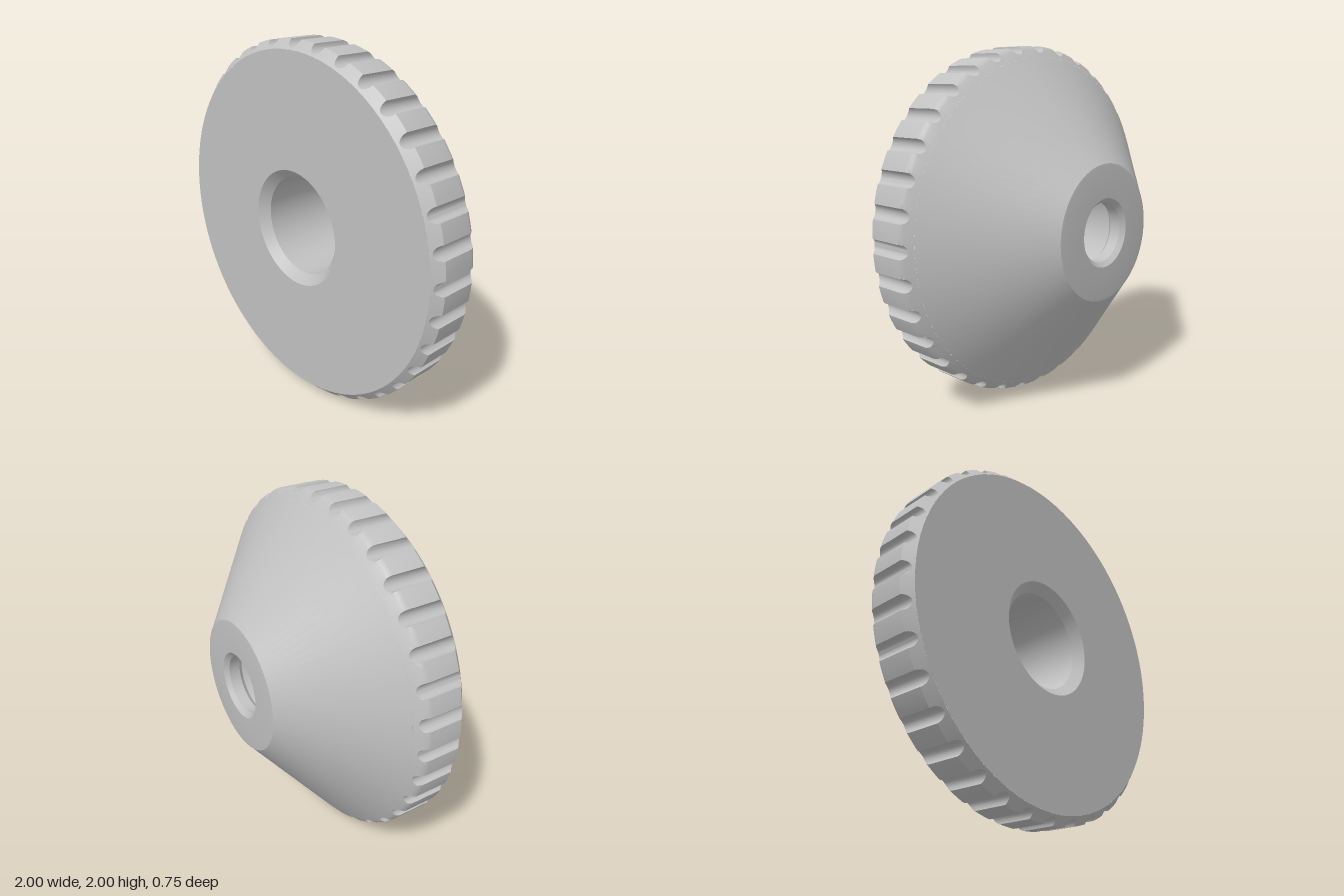
import * as THREE from 'three';
import { toCreasedNormals } from 'three/addons/utils/BufferGeometryUtils.js';

const NOTCHES = 36, NOTCH_R = 0.038;
const FRONT = 0.373, BACK = -0.373, FACE_R = 0.952, JOIN_R = 0.94;

// Height of the rear surface at a radius: straight cone, then a small rounding into the rim
function backZ(r) {
  const cone = -0.364 + (r - 0.385) / 1.27;
  if (r <= 0.98) return cone;
  const t = (r - 0.98) / 0.02;
  return cone + 0.02 * t * t * t;
}

// Knurled rim: columns around the wheel, each capped at the radius left by the round notches
function rimGeometry() {
  const columns = [], pitch = (Math.PI * 2) / NOTCHES, steps = 12;
  for (let n = 0; n < NOTCHES; n++) {
    for (let i = 0; i <= steps; i++) {
      const s = NOTCH_R * Math.sin((i / steps - 0.5) * Math.PI);
      const cap = Math.sqrt(1 - s * s) - Math.sqrt(Math.max(0, NOTCH_R * NOTCH_R - s * s));
      columns.push([n * pitch + Math.asin(s), cap]);
    }
    const edge = Math.asin(NOTCH_R);
    for (let i = 1; i < 4; i++) columns.push([n * pitch + edge + (pitch - 2 * edge) * i / 4, 1]);
  }
  const positions = [], index = [], rows = 7;
  for (const [angle, cap] of columns) {
    const section = [0, 0.67, 0.85, 0.95, 1].map((t) => {
      const r = JOIN_R + (cap - JOIN_R) * t;
      return [r, backZ(r)];
    });
    section.push([cap, FRONT - (cap - FACE_R)], [FACE_R, FRONT]);
    for (const [r, z] of section) positions.push(r * Math.cos(angle), r * Math.sin(angle), z);
  }
  for (let i = 0; i < columns.length; i++) {
    const a = i * rows, b = ((i + 1) % columns.length) * rows;
    for (let j = 0; j < rows - 1; j++) {
      index.push(a + j, b + j, b + j + 1, a + j, b + j + 1, a + j + 1);
    }
  }
  const geometry = new THREE.BufferGeometry();
  geometry.setAttribute('position', new THREE.Float32BufferAttribute(positions, 3));
  geometry.setIndex(index);
  return toCreasedNormals(geometry, 0.6);
}

// Surface of revolution about the z axis from [radius, z] points
function turned(points) {
  const geometry = new THREE.LatheGeometry(points.map(([r, z]) => new THREE.Vector2(r, z)), 96);
  return toCreasedNormals(geometry.rotateX(Math.PI / 2), 0.5);
}

export function createModel() {
  const group = new THREE.Group();
  const grey = new THREE.MeshStandardMaterial({ color: 0xc0c0c0 });
  grey.name = 'plain grey';

  const add = (name, geometry) => {
    const mesh = new THREE.Mesh(geometry, grey);
    mesh.name = name;
    mesh.position.y = 1;
    group.add(mesh);
  };

  add('knurledRim', rimGeometry());
  add('frontFace', turned([[FACE_R, FRONT], [0.325, FRONT]]));

  // Conical back with a softened edge, ending at the hole
  add('conicalBack', turned([
    [0.19, BACK], [0.365, BACK], [0.378, -0.371], [0.385, -0.364], [JOIN_R, backZ(JOIN_R)],
  ]));

  // Chamfered wide bore, shoulder and narrow through hole
  add('steppedBore', turned([
    [0.325, FRONT], [0.275, FRONT - 0.05], [0.275, -0.26], [0.19, -0.26],
    [0.165, -0.285], [0.165, BACK + 0.025], [0.19, BACK],
  ]));

  return group;
}
